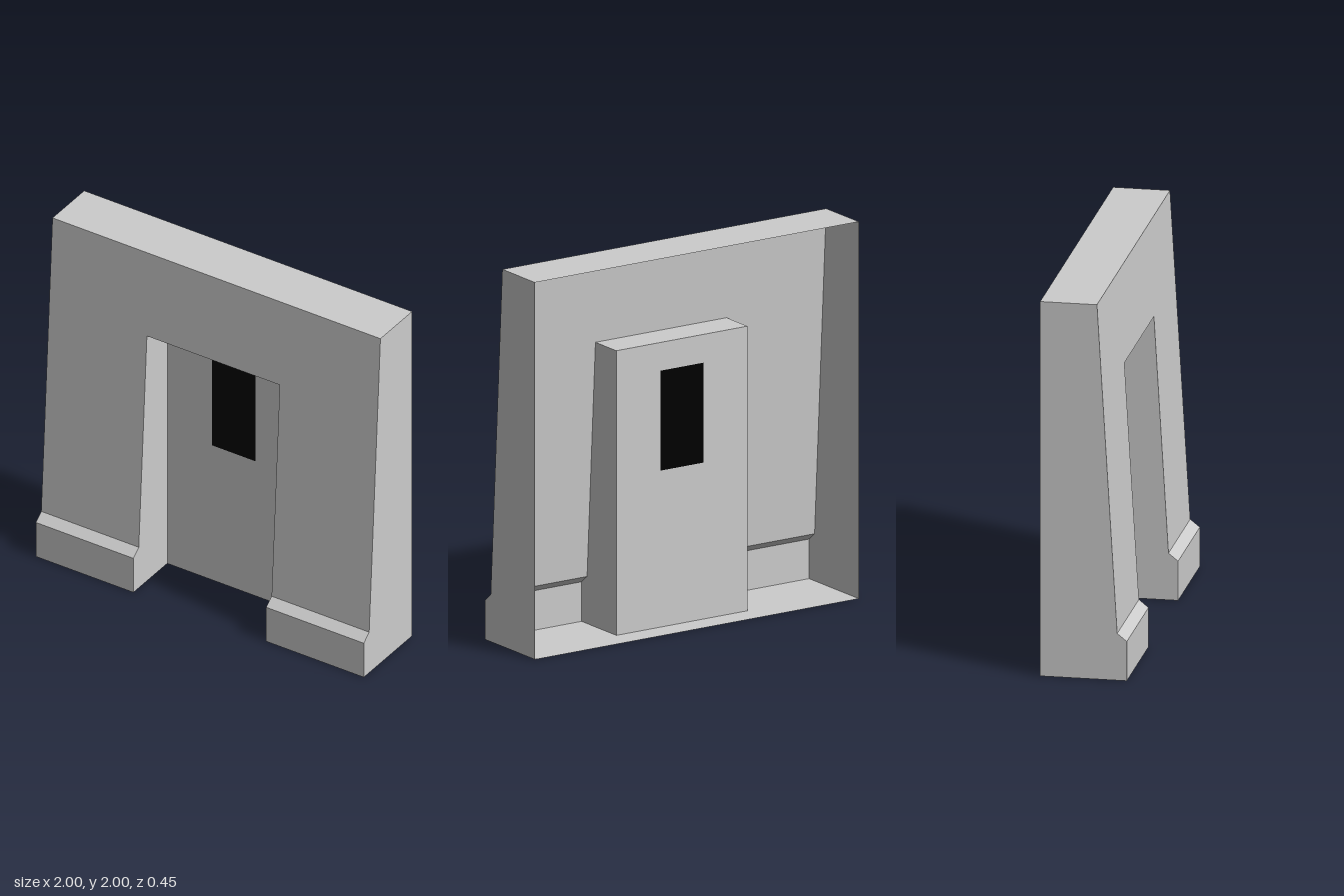
import * as THREE from 'three';

const GREY = new THREE.MeshStandardMaterial({ color: 0xcccccc, flatShading: true, side: THREE.DoubleSide });
const BLACK = new THREE.MeshStandardMaterial({ color: 0x000000, flatShading: true, side: THREE.DoubleSide });

// Main dimensions
const BACK = -0.225, FRONT = 0.225, DOOR_Z = -0.09;
const DOOR_X = 0.405, DOOR_TOP = 1.51;
const PLINTH_Y = 0.21, WALL_Y = 0.25, WALL_Z = 0.175, TOP_Z = 0.07;

// Depth of the leaning front wall at height y
const wallZ = (y) => WALL_Z + (TOP_Z - WALL_Z) * (y - WALL_Y) / (2 - WALL_Y);

const shapeOf = (pts) => new THREE.Shape(pts.map(([x, y]) => new THREE.Vector2(x, y)));
const rect = (x0, y0, x1, y1) => [[x0, y0], [x1, y0], [x1, y1], [x0, y1]];

export function createModel() {
  const group = new THREE.Group();

  const add = (name, geometry, material = GREY) => {
    const mesh = new THREE.Mesh(geometry, material);
    mesh.name = name;
    group.add(mesh);
    return mesh;
  };
  const sheet = (pts) => new THREE.ShapeGeometry(shapeOf(pts));
  // Upright sheet from (z, y) points, facing +x or -x
  const sideSheet = (pts, x, dir) =>
    sheet(pts.map(([z, y]) => [-dir * z, y])).rotateY(dir * Math.PI / 2).translate(x, 0, 0);
  // Level sheet from (x, z) points, facing up or down
  const levelSheet = (pts, y, dir) =>
    sheet(pts.map(([x, z]) => [x, -dir * z])).rotateX(-dir * Math.PI / 2).translate(0, y, 0);

  // Leaning front wall with the doorway cut out of its lower edge
  const wall = sheet([
    [-1, WALL_Y], [-DOOR_X, WALL_Y], [-DOOR_X, DOOR_TOP], [DOOR_X, DOOR_TOP],
    [DOOR_X, WALL_Y], [1, WALL_Y], [1, 2], [-1, 2],
  ]);
  const p = wall.attributes.position;
  for (let i = 0; i < p.count; i++) p.setZ(i, wallZ(p.getY(i)));
  wall.computeVertexNormals();
  add('frontWall', wall);

  // Front profile shared by end walls and doorway jambs
  const lower = [[FRONT, 0], [FRONT, PLINTH_Y], [WALL_Z, WALL_Y]];
  const endProfile = [[BACK, 0], ...lower, [TOP_Z, 2], [BACK, 2]];
  const jambProfile = [[DOOR_Z, 0], ...lower, [wallZ(DOOR_TOP), DOOR_TOP], [DOOR_Z, DOOR_TOP]];

  for (const s of [-1, 1]) {
    const side = s > 0 ? 'left' : 'right';
    const x0 = Math.min(s, s * DOOR_X), x1 = Math.max(s, s * DOOR_X);
    add(side + 'EndWall', sideSheet(endProfile, s, s));
    add(side + 'DoorJamb', sideSheet(jambProfile, s * DOOR_X, -s));

    // Plinth face and its sloping ledge
    add(side + 'Plinth', sheet(rect(x0, 0, x1, PLINTH_Y)).translate(0, 0, FRONT));
    const ledge = sheet(rect(x0, PLINTH_Y, x1, WALL_Y));
    const q = ledge.attributes.position;
    for (let i = 0; i < q.count; i++) q.setZ(i, q.getY(i) > 0.23 ? WALL_Z : FRONT);
    ledge.computeVertexNormals();
    add(side + 'PlinthLedge', ledge);
  }

  // Top slab, doorway ceiling and notched base
  add('top', levelSheet(rect(-1, BACK, 1, TOP_Z), 2, 1));
  add('doorwayCeiling', levelSheet(rect(-DOOR_X, DOOR_Z, DOOR_X, wallZ(DOOR_TOP)), DOOR_TOP, -1));
  add('base', levelSheet([
    [-1, BACK], [1, BACK], [1, FRONT], [DOOR_X, FRONT],
    [DOOR_X, DOOR_Z], [-DOOR_X, DOOR_Z], [-DOOR_X, FRONT], [-1, FRONT],
  ], 0, -1));

  // Door panel with a dark window set flush in it
  const windowRect = rect(-0.133, 0.83, 0.133, 1.36);
  const door = shapeOf(rect(-DOOR_X, 0, DOOR_X, DOOR_TOP));
  door.holes.push(shapeOf(windowRect));
  add('door', new THREE.ShapeGeometry(door).translate(0, 0, DOOR_Z));
  add('doorWindow', sheet(windowRect).translate(0, 0, DOOR_Z), BLACK);

  return group;
}
